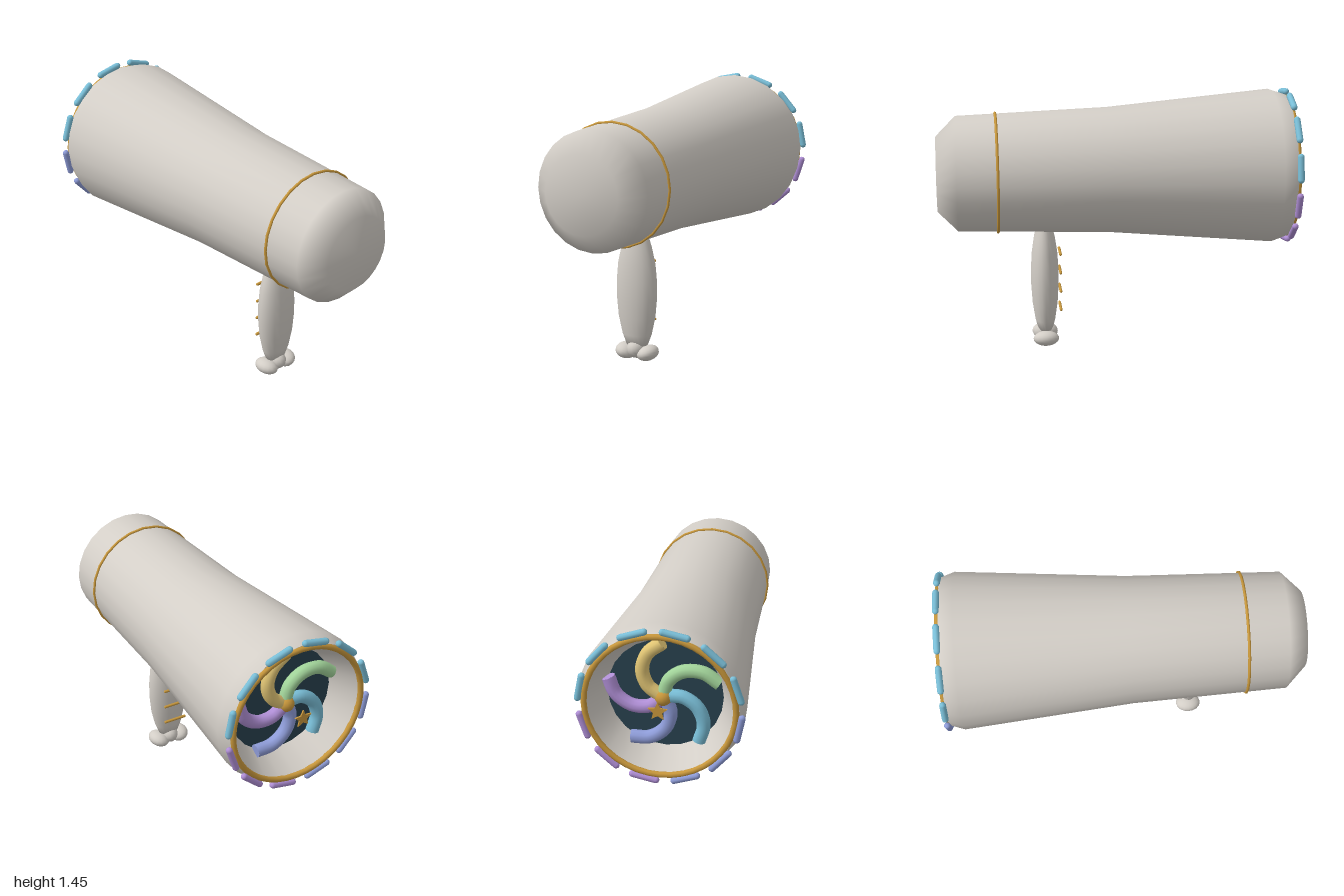
import * as THREE from 'three';

const AXIS_Y = 1.02; // height of the barrel axis

function mat(name, color, side = THREE.FrontSide) {
  const m = new THREE.MeshStandardMaterial({ color, side });
  m.name = name;
  return m;
}

function add(parent, name, geometry, material, x = 0, y = 0, z = 0) {
  const mesh = new THREE.Mesh(geometry, material);
  mesh.name = name;
  mesh.position.set(x, y, z);
  parent.add(mesh);
  return mesh;
}

// Lathe from [radius, height] pairs, heights ascending for an outward surface
const lathe = (pairs, sides) =>
  new THREE.LatheGeometry(pairs.map(([r, h]) => new THREE.Vector2(r, h)), sides);

export function createModel() {
  const model = new THREE.Group();
  model.name = 'handheldTube';

  const pearl = mat('pearl', 0xd3cec7);
  const gold = mat('gold', 0xc9983c);
  const dark = mat('darkTeal', 0x28424f);
  const blue = mat('skyBlue', 0x7abfd8);
  const periwinkle = mat('periwinkle', 0x8e9cd8);
  const purple = mat('purple', 0xb08fd6);
  const yellow = mat('yellow', 0xe2c675);
  const green = mat('green', 0xa2d49a);

  // Barrel assembly, centred on its own axis along z
  const barrel = new THREE.Group();
  barrel.name = 'barrel';
  barrel.position.y = AXIS_Y;
  model.add(barrel);

  const shell = [[0.405, -0.95], [0.432, -0.87], [0.35, 0.05], [0.32, 0.89], [0.21, 1], [0, 1]];
  add(barrel, 'shell', lathe(shell, 24).rotateX(Math.PI / 2), pearl);
  add(barrel, 'mouthLip', lathe([[0.38, -0.95], [0.405, -0.95]], 24).rotateX(Math.PI / 2), pearl);
  add(barrel, 'mouthWall', lathe([[0.3, -0.79], [0.38, -0.95]], 24).rotateX(Math.PI / 2), pearl);
  add(barrel, 'mouthFloor', new THREE.CircleGeometry(0.305, 32).rotateY(Math.PI), dark, 0, 0, -0.792);

  // Gold bands
  add(barrel, 'frontBand', new THREE.TorusGeometry(0.331, 0.008, 8, 24), gold, 0, 0, 0.67);
  add(barrel, 'mouthRing', new THREE.TorusGeometry(0.388, 0.016, 8, 40), gold, 0, 0, -0.953);

  // Twelve rounded beads around the mouth
  for (let i = 0; i < 12; i++) {
    const a = 0.2 + (i * Math.PI) / 6;
    const color = i < 6 ? blue : i < 9 ? periwinkle : purple;
    const bead = add(barrel, 'rimBead', new THREE.CapsuleGeometry(0.018, 0.125, 4, 10), color,
      Math.cos(a) * 0.414, Math.sin(a) * 0.414, -0.958);
    bead.rotation.z = a;
  }

  // Five curling arms around the hub, inside the mouth
  [purple, yellow, green, blue, periwinkle].forEach((color, i) => {
    const turn = (i * 2 * Math.PI) / 5;
    const points = [[0.03, -50], [0.1, -38], [0.18, -20], [0.25, -1], [0.3, 17]].map(([r, deg]) => {
      const a = turn + THREE.MathUtils.degToRad(deg);
      return new THREE.Vector3(r * Math.cos(a), r * Math.sin(a), 0);
    });
    const curve = new THREE.CatmullRomCurve3(points);
    const arm = new THREE.Group();
    arm.name = 'swirlArm';
    arm.position.z = -0.83;
    barrel.add(arm);
    add(arm, 'armTube', new THREE.TubeGeometry(curve, 20, 0.036, 10), color);
    const end = curve.getPoint(1);
    const cap = add(arm, 'armEnd', new THREE.CircleGeometry(0.036, 10), color, end.x, end.y, end.z);
    cap.quaternion.setFromUnitVectors(new THREE.Vector3(0, 0, 1), curve.getTangent(1));
  });
  add(barrel, 'hub', new THREE.SphereGeometry(0.045, 16, 12), gold, 0, 0, -0.84);

  // Small star in front of the mouth
  const star = new THREE.Shape();
  for (let i = 0; i < 10; i++) {
    const a = Math.PI / 2 + (i * Math.PI) / 5;
    const r = i % 2 ? 0.024 : 0.052;
    star[i ? 'lineTo' : 'moveTo'](r * Math.cos(a), r * Math.sin(a));
  }
  add(barrel, 'star', new THREE.ExtrudeGeometry(star, { depth: 0.008, bevelEnabled: false }), gold, 0, 0, -1);

  // Handle with a flattened round section
  const handle = new THREE.Group();
  handle.name = 'handle';
  handle.position.z = 0.41;
  model.add(handle);
  const grip = [[0, 0.09], [0.062, 0.09], [0.085, 0.15], [0.107, 0.25], [0.117, 0.36], [0.117, 0.45],
    [0.108, 0.55], [0.088, 0.64], [0.066, 0.71]];
  add(handle, 'grip', lathe(grip, 20), pearl).scale.z = 0.67;

  // Grip bars on the back of the handle
  for (let i = 0; i < 4; i++) {
    add(handle, 'gripBar', new THREE.CapsuleGeometry(0.008, 0.13, 3, 8).rotateZ(Math.PI / 2), gold,
      0, 0.22 + i * 0.11, -0.087);
  }

  // Three-lobed foot
  const ball = new THREE.SphereGeometry(1, 16, 12);
  add(handle, 'footCentre', ball, pearl, 0, 0.07, 0).scale.set(0.054, 0.055, 0.07);
  for (const side of [-1, 1]) {
    const lobe = add(handle, 'footLobe', ball, pearl, side * 0.066, 0.05, 0);
    lobe.scale.set(0.059, 0.043, 0.073);
    lobe.rotation.z = side * 0.25;
  }

  return model;
}
